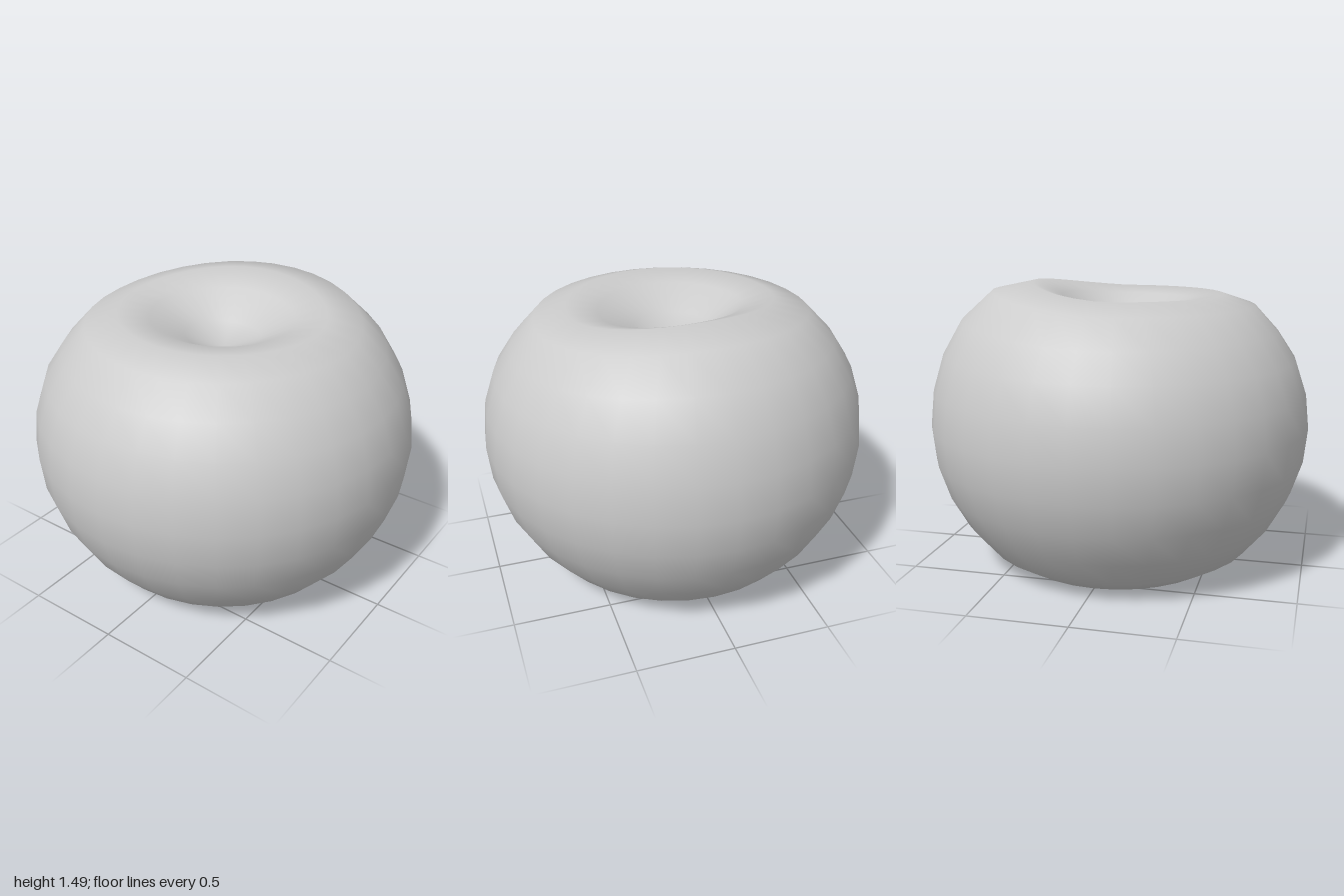
import * as THREE from 'three';
import { mergeVertices } from 'three/addons/utils/BufferGeometryUtils.js';

// Half profiles [radius, height], from the base dimple to the top dimple
const base = [[0, 0.06], [0.2, 0.045], [0.38, 0.015], [0.555, 0], [0.707, 0.09], [0.831, 0.235],
  [0.924, 0.4], [0.981, 0.57], [1, 0.75]];
const lowTop = [[0.981, 0.93], [0.924, 1.1], [0.831, 1.24], [0.707, 1.375], [0.54, 1.43],
  [0.38, 1.4], [0.2, 1.3], [0, 1.22]];
const highTop = [[0.981, 0.94], [0.924, 1.13], [0.825, 1.305], [0.665, 1.45], [0.45, 1.495],
  [0.3, 1.43], [0.15, 1.3], [0, 1.22]];

export function createModel() {
  const group = new THREE.Group();
  const low = [...base, ...lowTop];
  const high = [...base, ...highTop];
  const segments = 32;
  const lathe = new THREE.LatheGeometry(low.map(([r, y]) => new THREE.Vector2(r, y)), segments);

  // Blend towards the raised shoulder on the +x side of the rim
  const pos = lathe.attributes.position;
  for (let i = 0; i <= segments; i++) {
    const a = ((i % segments) / segments) * Math.PI * 2;
    const w = Math.pow(Math.max(0, Math.cos(a - Math.PI / 2 - 0.12)), 1.4);
    for (let j = 0; j < low.length; j++) {
      const r = THREE.MathUtils.lerp(low[j][0], high[j][0], w);
      const y = THREE.MathUtils.lerp(low[j][1], high[j][1], w);
      pos.setXYZ(i * low.length + j, r * Math.sin(a), y, r * Math.cos(a));
    }
  }

  // Weld the seam and poles so the shading is smooth all round
  lathe.deleteAttribute('uv');
  lathe.deleteAttribute('normal');
  const geometry = mergeVertices(lathe, 1e-4);
  geometry.computeVertexNormals();

  const fruit = new THREE.Mesh(geometry, new THREE.MeshStandardMaterial({ color: 0xcccccc }));
  fruit.name = 'fruitBody';
  group.add(fruit);
  return group;
}
